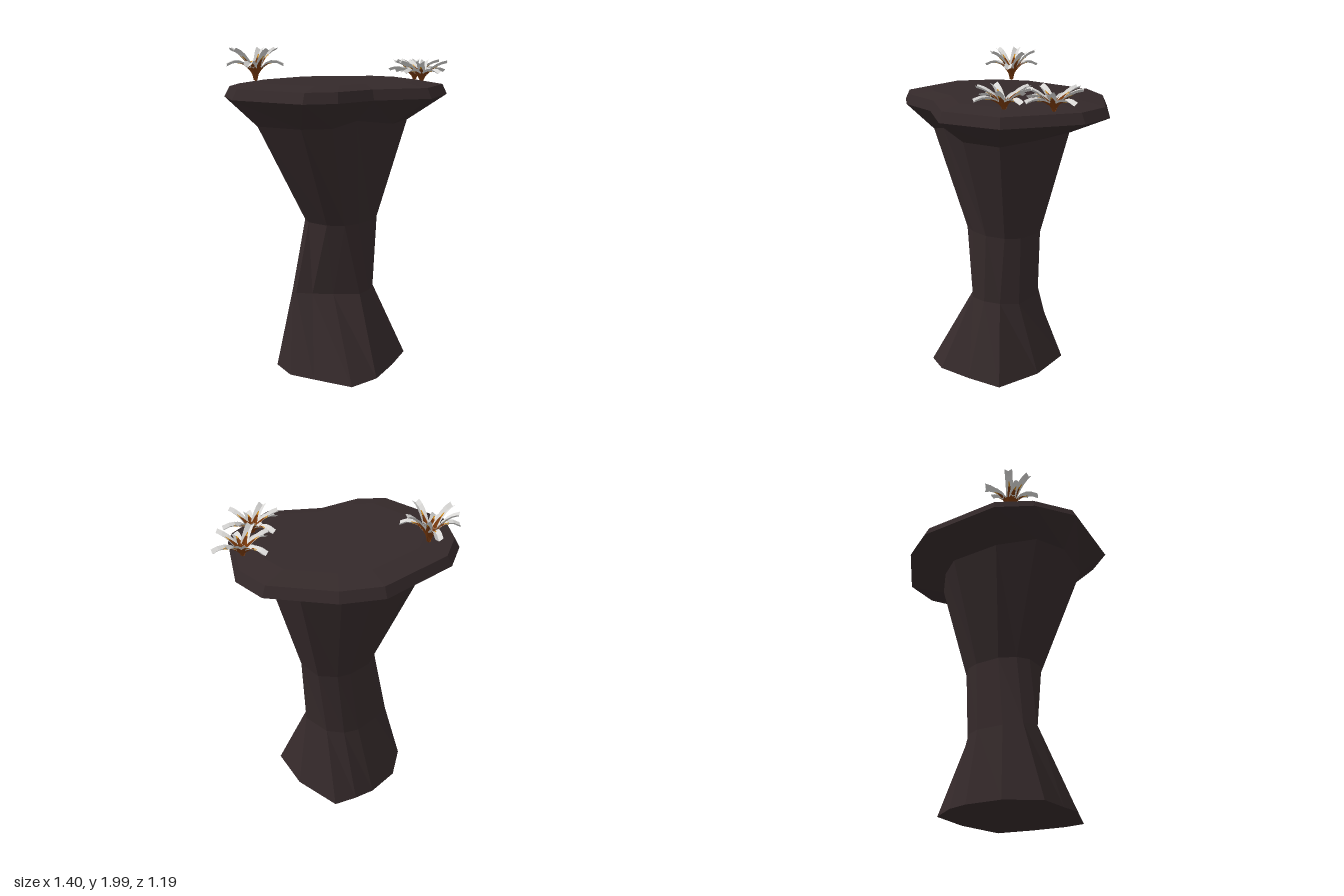
import * as THREE from 'three';

function material(name, color, side = THREE.FrontSide) {
  const m = new THREE.MeshStandardMaterial({ color, flatShading: true, side });
  m.name = name;
  return m;
}
const rock = material('dark rock', 0x34292a);
const leafWhite = material('pale leaf', 0xd8d7d5, THREE.DoubleSide);
const leafBrown = material('brown leaf base', 0x78390d, THREE.DoubleSide);
const amber = material('amber vein', 0xd08a1a, THREE.DoubleSide);

// Cross-sections as [x, z], running clockwise seen from above
const foot = [[-.45, -.08], [-.41, -.22], [-.22, -.35], [0, -.37], [.13, -.34], [.26, -.28],
  [.31, .03], [.24, .32], [.02, .37], [-.2, .40], [-.36, .33], [-.44, .1]];
const shin = [[-.32, -.13], [-.27, -.2], [-.15, -.23], [.02, -.24], [.11, -.2], [.18, -.11],
  [.19, .08], [.1, .16], [0, .2], [-.1, .2], [-.2, .07], [-.27, -.04]];
const waist = [[-.25, -.08], [-.2, -.15], [-.1, -.2], [.06, -.2], [.14, -.17], [.22, -.08],
  [.21, .09], [.14, .16], [.02, .2], [-.1, .19], [-.19, .15], [-.25, .06]];
const neck = [[-.57, -.19], [-.46, -.33], [-.22, -.41], [.1, -.41], [.24, -.31], [.39, -.13],
  [.38, .16], [.24, .31], [0, .36], [-.25, .28], [-.4, .22], [-.53, .1]];
const rim = [[-.70, -.26], [-.54, -.48], [-.33, -.60], [.19, -.60], [.41, -.47], [.66, -.15],
  [.66, .08], [.41, .49], [.05, .59], [-.24, .39], [-.51, .34], [-.66, .22]];

const ring = (pts, y, s = 1) => pts.map(([x, z], i) => [x * s, typeof y === 'function' ? y(i) : y, z * s]);
const neckRing = ring(neck, i => ([0, 7, 8, 10, 11].includes(i) ? 1.555 : 1.59));

function flatGeometry(positions) {
  const g = new THREE.BufferGeometry();
  g.setAttribute('position', new THREE.Float32BufferAttribute(positions, 3));
  g.computeVertexNormals();
  return g;
}

// Joins rings from bottom to top and closes the chosen ends
function loft(rings, capBottom, capTop) {
  const p = [];
  const n = rings[0].length;
  for (let r = 0; r < rings.length - 1; r++) {
    for (let i = 0; i < n; i++) {
      const j = (i + 1) % n, lo = rings[r], hi = rings[r + 1];
      p.push(...lo[i], ...hi[i], ...hi[j], ...lo[i], ...hi[j], ...lo[j]);
    }
  }
  const last = rings[rings.length - 1];
  for (let i = 0; i < n; i++) {
    const j = (i + 1) % n;
    if (capBottom) p.push(...capBottom, ...rings[0][i], ...rings[0][j]);
    if (capTop) p.push(...capTop, ...last[j], ...last[i]);
  }
  return flatGeometry(p);
}

// Folded ribbon from t0 to t1 of a leaf's arc, its half width going from w0 to w1
function leafStrip({ reach, peak, tip }, t0, t1, w0, w1, lift) {
  const p = [], steps = 4;
  const at = (k, side) => {
    const t = t0 + (t1 - t0) * k / steps;
    const w = w0 + (w1 - w0) * k / steps;
    const y = 2 * (1 - t) * t * peak + t * t * tip;
    return [reach * (.75 * t + .25 * t * t), y + lift + Math.abs(side) * w * .7, side * w];
  };
  for (let k = 0; k < steps; k++) {
    for (const s of [-1, 0]) {
      p.push(...at(k, s), ...at(k, s + 1), ...at(k + 1, s + 1), ...at(k, s), ...at(k + 1, s + 1), ...at(k + 1, s));
    }
  }
  return flatGeometry(p);
}

// Leaf directions around a plant, in degrees
const leafAngles = [0, 28, 88, 112, 140, 178, 226, 274, 316];

function makePlant(name, x, y, z, rise, turn) {
  const plant = new THREE.Group();
  plant.name = name;
  leafAngles.forEach((angle, i) => {
    const arc = i % 2 === 0
      ? { reach: .155, peak: rise * .78, tip: rise * .9 }
      : { reach: .172, peak: rise * .78, tip: rise * .44 };
    const leaf = new THREE.Group();
    leaf.name = 'leaf';
    const add = (part, mat, ...shape) => {
      const m = new THREE.Mesh(leafStrip(arc, ...shape), mat);
      m.name = part;
      leaf.add(m);
    };
    add('leafBase', leafBrown, 0, .26, .012, .022, 0);
    add('leafBlade', leafWhite, .26, 1, .022, .024, 0);
    // Tapering stain and vein on both faces of the blade
    for (const lift of [-.002, .002]) {
      add('leafStain', leafBrown, .26, .6, .016, .004, lift);
      add('leafVein', amber, .54, .68, .005, .003, lift * 1.5);
    }
    leaf.rotation.y = THREE.MathUtils.degToRad(angle + turn);
    plant.add(leaf);
  });
  plant.position.set(x, y, z);
  return plant;
}

export function createModel() {
  const model = new THREE.Group();
  model.name = 'rockPillarWithPlants';

  // Pillar shaft, narrow in the middle
  const shaft = new THREE.Mesh(loft([
    ring(foot, i => (i % 5 === 0 ? 0 : .015)),
    ring(shin, .49),
    ring(waist, .94),
    neckRing,
  ], [-.05, .02, 0], null), rock);
  shaft.name = 'pillarShaft';

  // Overhanging ledge with a bevelled, slightly domed top
  const ledge = new THREE.Mesh(loft([
    neckRing,
    ring(rim, 1.71),
    ring(rim, 1.77, .955),
    ring(rim, 1.795, .72),
  ], null, [0, 1.8, 0]), rock);
  ledge.name = 'ledge';
  model.add(shaft, ledge);

  // Plants growing on the ledge
  model.add(
    makePlant('tallPlant', -.33, 1.79, -.42, .205, 30),
    makePlant('frontPlant', .32, 1.78, .36, .13, 67),
    makePlant('sidePlant', .525, 1.775, .185, .13, 72),
  );
  return model;
}
